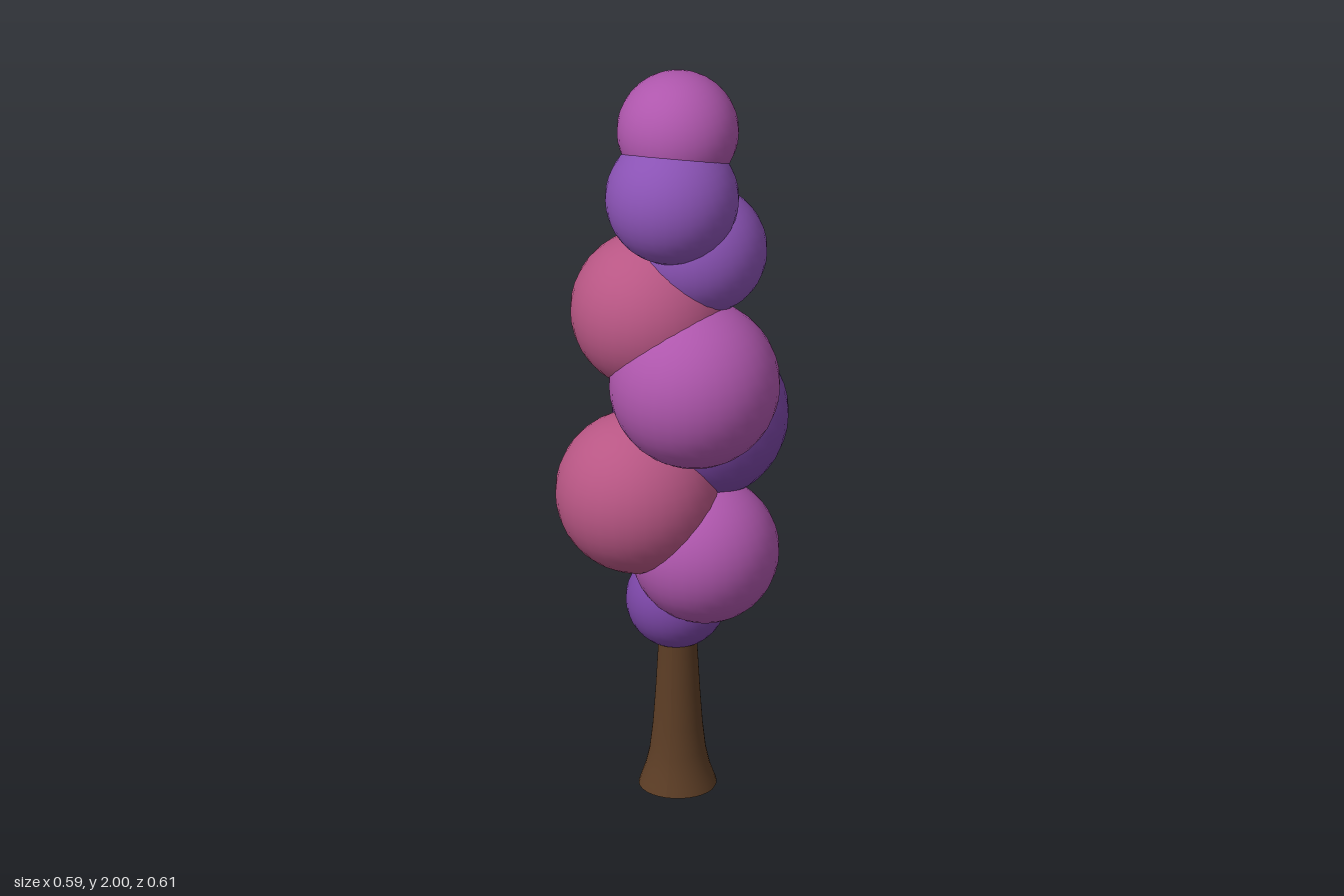
import * as THREE from 'three';

const PURPLE = 0x8a52b4, DEEP = 0x7b46a6, MAGENTA = 0xae56ac, PINK = 0xb85684;

// Leaf balls from bottom to top: x, y, z, radius, colour
const PUFFS = [
  [-0.004, 0.515, 0.0, 0.13, DEEP],
  [0.082, 0.68, 0.03, 0.191, MAGENTA],
  [-0.083, 0.843, 0.078, 0.212, PINK],
  [0.035, 1.013, -0.08, 0.227, DEEP],
  [0.072, 1.178, 0.087, 0.22, MAGENTA],
  [-0.062, 1.342, 0.027, 0.209, PINK],
  [0.06, 1.512, -0.014, 0.168, PURPLE],
  [0.005, 1.687, 0.066, 0.172, PURPLE],
  [-0.003, 1.843, -0.009, 0.157, MAGENTA],
];

function createTrunk() {
  // Flared trunk profile, open at the foot
  const profile = [
    [0.1, 0], [0.094, 0.02], [0.082, 0.055], [0.072, 0.1],
    [0.064, 0.17], [0.057, 0.27], [0.051, 0.38], [0.047, 0.5],
  ].map(([r, y]) => new THREE.Vector2(r, y));
  const geometry = new THREE.LatheGeometry(profile, 32);

  // Ragged foot along the back half
  const p = geometry.attributes.position;
  for (let i = 0; i < p.count; i++) {
    if (p.getY(i) > 0.001) continue;
    const angle = Math.atan2(p.getX(i), p.getZ(i));
    const back = Math.max(0, -Math.cos(angle) + 0.2);
    p.setY(i, 0.014 * Math.min(1, back) * (1 + Math.cos(angle * 8)) / 2);
  }
  geometry.computeVertexNormals();

  const trunk = new THREE.Mesh(geometry, new THREE.MeshStandardMaterial({
    color: 0x5c3d25, side: THREE.DoubleSide,
  }));
  trunk.name = 'trunk';
  trunk.position.set(0.006, 0, 0.02);
  return trunk;
}

export function createModel() {
  const tree = new THREE.Group();
  tree.name = 'tree';
  tree.add(createTrunk());

  // Stacked round foliage
  const foliage = new THREE.Group();
  foliage.name = 'foliage';
  PUFFS.forEach(([x, y, z, r, color], i) => {
    const puff = new THREE.Mesh(
      new THREE.SphereGeometry(r, 32, 20),
      new THREE.MeshStandardMaterial({ color }),
    );
    puff.name = `leafBall${i + 1}`;
    puff.position.set(x, y, z);
    foliage.add(puff);
  });
  tree.add(foliage);
  return tree;
}
